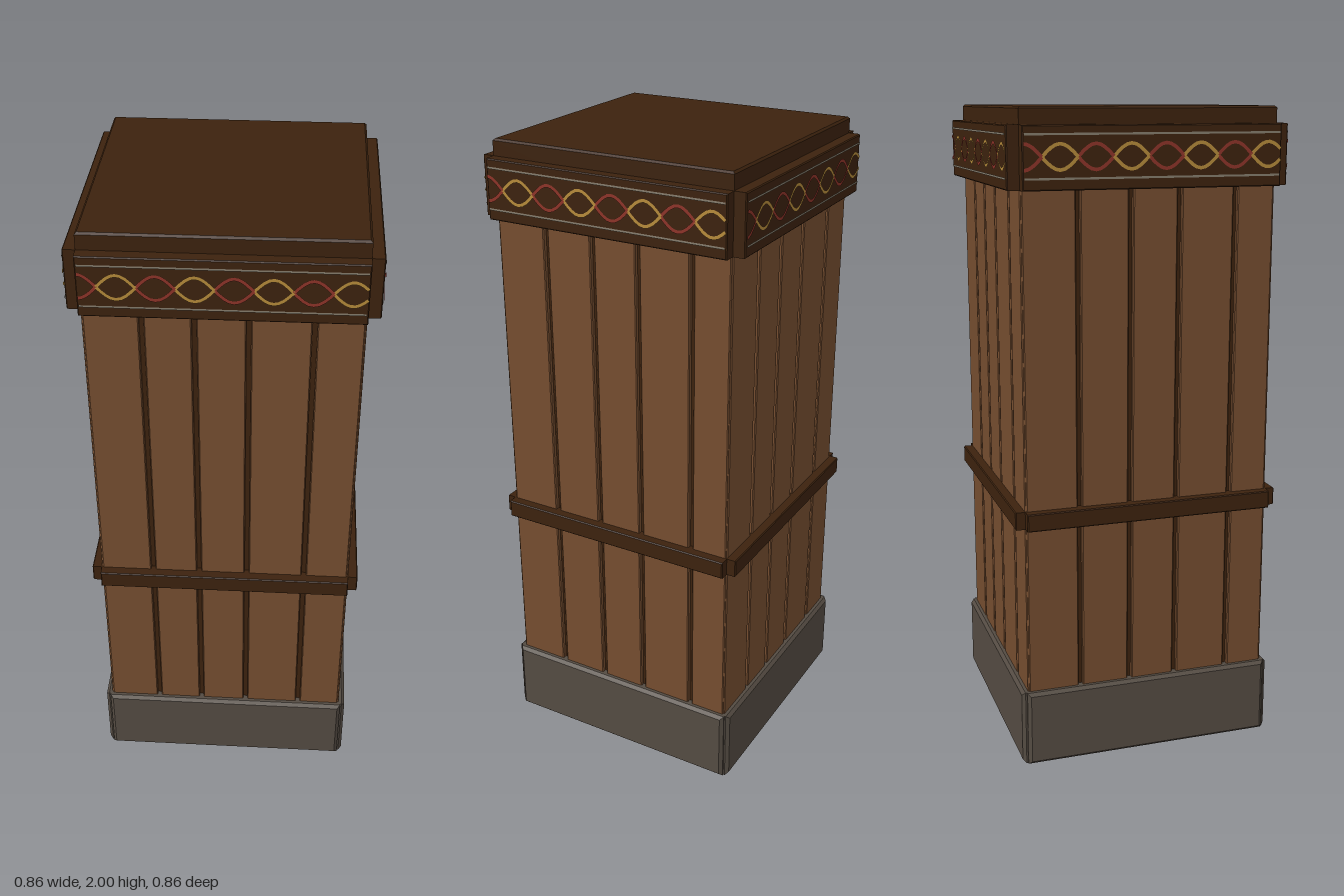
import * as THREE from 'three';

const mat = (name, color, side = THREE.FrontSide) => {
  const m = new THREE.MeshStandardMaterial({ color, side });
  m.name = name;
  return m;
};

export function createModel() {
  const wood = mat('plank wood', 0x754d2f);
  const dark = mat('dark wood', 0x3c220e);
  const stone = mat('stone', 0x544b42);
  const gold = mat('gold paint', 0xb58a3a, THREE.DoubleSide);
  const red = mat('red paint', 0x8c3328, THREE.DoubleSide);
  const pale = mat('pale paint', 0x857c6c, THREE.DoubleSide);

  const model = new THREE.Group();
  model.name = 'squarePillar';

  const add = (parent, name, geometry, material) => {
    const mesh = new THREE.Mesh(geometry, material);
    mesh.name = name;
    parent.add(mesh);
    return mesh;
  };

  // Board with chamfered edges, spanning x0..x1, y0..y1 and z0..z1
  const board = (x0, x1, y0, y1, z0, z1, b) => {
    const s = new THREE.Shape();
    s.moveTo(x0 + b, y0 + b);
    s.lineTo(x1 - b, y0 + b);
    s.lineTo(x1 - b, y1 - b);
    s.lineTo(x0 + b, y1 - b);
    s.closePath();
    const g = new THREE.ExtrudeGeometry(s, {
      depth: z1 - z0 - 2 * b, bevelEnabled: true,
      bevelThickness: b, bevelSize: b, bevelSegments: 1,
    });
    return g.translate(0, 0, z0 + b);
  };

  // Flat ribbon of constant width following a curve y = f(x)
  const ribbon = (x0, x1, f, w, n = 8) => {
    const upper = [], lower = [];
    for (let i = 0; i <= n; i++) {
      const x = x0 + (x1 - x0) * i / n;
      const slope = (f(x + 0.001) - f(x - 0.001)) / 0.002;
      const k = w / 2 / Math.hypot(1, slope);
      upper.push(new THREE.Vector2(x - k * slope, f(x) + k));
      lower.unshift(new THREE.Vector2(x + k * slope, f(x) - k));
    }
    return new THREE.ShapeGeometry(new THREE.Shape([...upper, ...lower]));
  };

  // Dark core seen in the grooves and underneath
  add(model, 'core', new THREE.BoxGeometry(0.752, 1.93, 0.752).translate(0, 0.98, 0), dark);

  // Cap with chamfered rim
  add(model, 'cap', board(-0.39, 0.39, -0.39, 0.39, 1.78, 2, 0.006).rotateX(-Math.PI / 2), dark);

  // Plank joints differ between the front/back and the two sides
  const joints = [[-0.225, -0.08, 0.07, 0.25], [-0.22, -0.06, 0.09, 0.265]];
  const gap = 0.007;

  for (let i = 0; i < 4; i++) {
    const face = new THREE.Group();
    face.name = ['front', 'left', 'back', 'right'][i] + 'Face';
    face.rotation.y = i * Math.PI / 2;
    model.add(face);

    // Vertical planks
    const edges = [-0.386 - gap, ...joints[i % 2], 0.386 + gap];
    for (let j = 0; j < 5; j++) {
      add(face, 'plank', board(edges[j] + gap, edges[j + 1] - gap, 0.2, 1.8, 0.365, 0.39, 0.003), wood);
    }

    // Stone plinth, waist strap and frieze, notched at the corners
    add(face, 'plinth', board(-0.395, 0.395, 0, 0.24, 0.355, 0.41, 0.01), stone);
    add(face, 'strap', board(-0.39, 0.39, 0.77, 0.825, 0.36, 0.42, 0.003), dark);
    add(face, 'friezeBoard', board(-0.39, 0.39, 1.77, 1.95, 0.36, 0.427, 0.003), dark);

    // Painted interlace: two crossing waves, coloured lens by lens
    const paint = new THREE.Group();
    paint.name = 'friezePattern';
    paint.position.z = 0.43;
    face.add(paint);
    const pitch = 0.105;
    for (let k = 0; k < 8; k++) {
      const x0 = -0.44 + k * pitch;
      const a = Math.max(x0, -0.386), b = Math.min(x0 + pitch, 0.386);
      if (b - a < 0.01) continue;
      for (const s of [1, -1]) {
        const wave = x => 1.863 + s * 0.036 * Math.sin((x - x0) / pitch * Math.PI);
        add(paint, 'strand', ribbon(a, b, wave, 0.01), k % 2 ? gold : red);
      }
    }

    // Painted border lines
    for (const y of [1.803, 1.925]) {
      add(paint, 'borderLine', new THREE.PlaneGeometry(0.77, 0.006).translate(0, y, 0), pale);
    }
  }
  return model;
}
